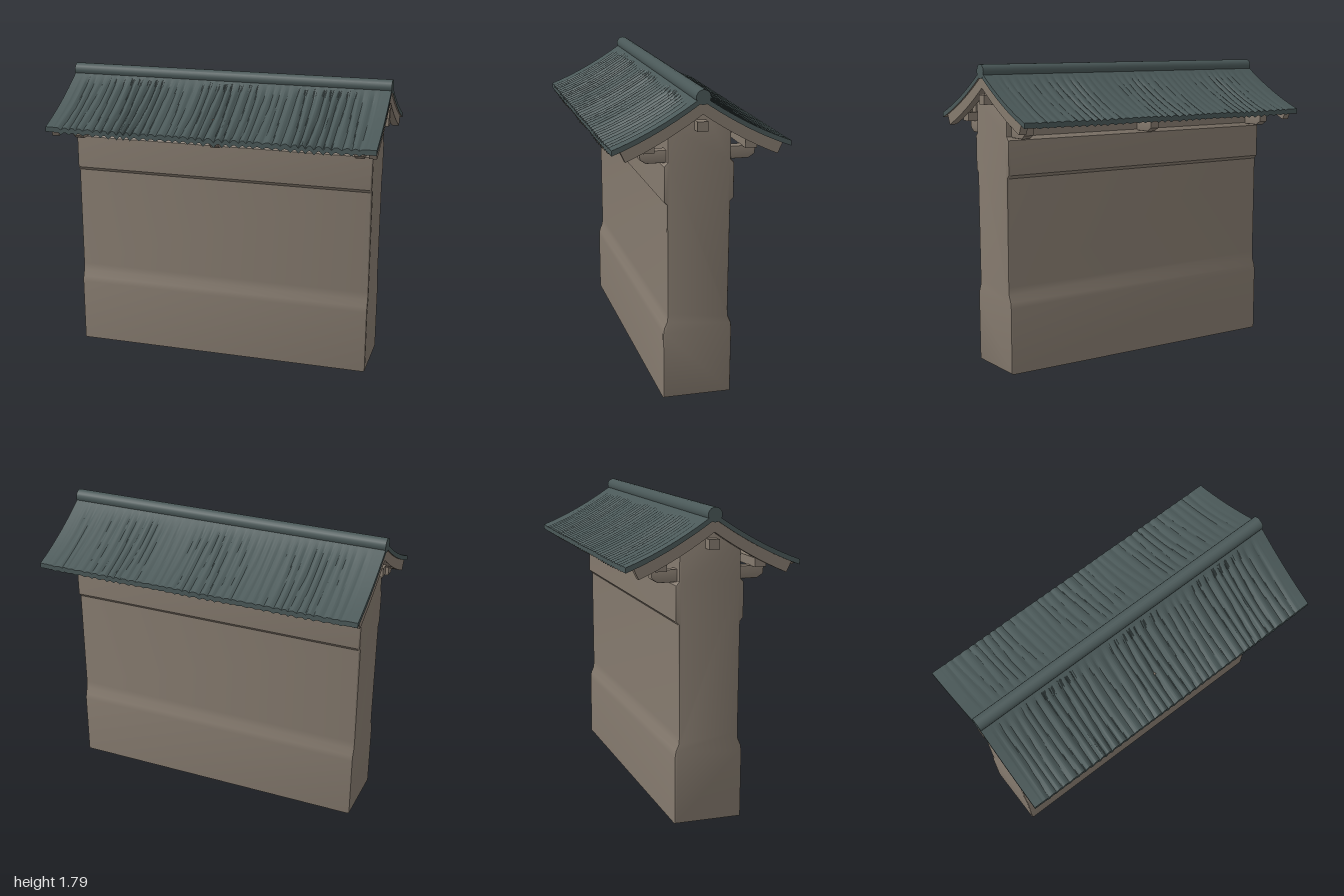
import * as THREE from 'three';
import { toCreasedNormals } from 'three/addons/utils/BufferGeometryUtils.js';

const plaster = new THREE.MeshStandardMaterial({ color: 0x857a6e });
plaster.name = 'warm plaster';
const tile = new THREE.MeshStandardMaterial({ color: 0x4a5858 });
tile.name = 'slate green tile';

// Height of the roof surface at distance z from the ridge
const roofY = (z) => 1.765 - 0.7 * z + 0.33 * z * z;

// Mirrors a half outline [z, y] listed upward and extrudes it along x, centred on x = 0
function extrudeX(half, length, bevel = 0) {
  const pts = [...half, ...half.slice().reverse().map(([z, y]) => [-z, y])];
  const shape = new THREE.Shape(pts.map(([z, y]) => new THREE.Vector2(z, y)));
  const g = new THREE.ExtrudeGeometry(shape, {
    depth: length - 2 * bevel, bevelEnabled: bevel > 0, bevelSize: bevel,
    bevelThickness: bevel, bevelOffset: -bevel, bevelSegments: 2,
  });
  g.translate(0, 0, bevel - length / 2).rotateY(Math.PI / 2);
  return toCreasedNormals(g, 0.7);
}

// One tiled slope: a thin bent slab with rounded rows of tiles and a plain underside
function slopeGeometry(depth) {
  const g = new THREE.BoxGeometry(1.998, 0.03, 0.5, 400, 1, 10).translate(0, 0, 0.25);
  const p = g.attributes.position;
  for (let i = 0; i < p.count; i++) {
    const x = p.getX(i), z = p.getZ(i);
    const start = THREE.MathUtils.smoothstep(z, 0.055, 0.1);
    const edge = 1 - THREE.MathUtils.smoothstep(Math.abs(x), 0.92, 0.95);
    const wobble = 0.006 * Math.sin(x * 17 + z * 5) + 0.004 * Math.sin(x * 41 - z * 9);
    const valley = 1 - Math.abs(Math.sin((Math.PI * (x + wobble)) / 0.05));
    const uneven = 0.75 + 0.25 * Math.sin(x * 11 + 1);
    const y = roofY(z) - depth * uneven * valley * start * edge;
    p.setY(i, y + (p.getY(i) > 0 ? 0 : -0.03));
  }
  return toCreasedNormals(g, 0.6);
}

export function createModel() {
  const model = new THREE.Group();
  const add = (name, geometry, material = plaster, x = 0, y = 0, z = 0) => {
    const mesh = new THREE.Mesh(geometry, material);
    mesh.name = name;
    mesh.position.set(x, y, z);
    model.add(mesh);
    return mesh;
  };

  // Wall with a thicker foot and a thicker upper band
  add('wall', extrudeX([
    [0.2, 0.005], [0.202, 0.4], [0.197, 0.435], [0.18, 0.475], [0.177, 0.52],
    [0.181, 1.155], [0.2, 1.175], [0.2, 1.375], [0.18, 1.395], [0.18, 1.6], [0.01, 1.725],
  ], 1.87, 0.012));

  // Roof slopes and round ridge
  const front = slopeGeometry(0.024), back = slopeGeometry(0.012);
  const slopeMaterials = [tile, tile, tile, plaster, tile, tile];
  add('frontRoofSlope', front, slopeMaterials);
  add('backRoofSlope', back, slopeMaterials).rotation.y = Math.PI;
  add('ridge', new THREE.CylinderGeometry(0.041, 0.041, 2, 20).rotateZ(Math.PI / 2), tile, 0, 1.759);

  // Curved gable boards under both roof ends
  const lower = [], upper = [];
  for (let i = 0; i <= 8; i++) {
    const z = 0.005 + (i / 8) * 0.42;
    lower.push([z, roofY(z) - 0.1]);
    upper.unshift([z + 0.03 * (i / 8), roofY(z + 0.03 * (i / 8)) - 0.025]);
  }
  const board = extrudeX([...lower, ...upper], 0.045);
  for (const s of [-1, 1]) add('gableBoard', board, plaster, s * 0.968);

  // Ridge beam showing at both gables
  add('ridgeBeam', new THREE.BoxGeometry(1.985, 0.055, 0.06), plaster, 0, 1.598);

  // Brackets through the wall, with eave beams resting on them
  const bracket = extrudeX([[0.29, 1.388], [0.325, 1.41], [0.33, 1.46]], 0.06, 0.006);
  const block = new THREE.BoxGeometry(0.05, 0.07, 0.05);
  const beam = new THREE.BoxGeometry(1.9, 0.05, 0.065);
  for (const x of [-0.87, 0, 0.87]) add('bracket', bracket, plaster, x);
  for (const s of [-1, 1]) {
    add('eaveBeam', beam, plaster, 0, 1.482, s * 0.287);
    for (const x of [-0.87, 0, 0.87]) add('beamBlock', block, plaster, x, 1.53, s * 0.287);
  }
  return model;
}
